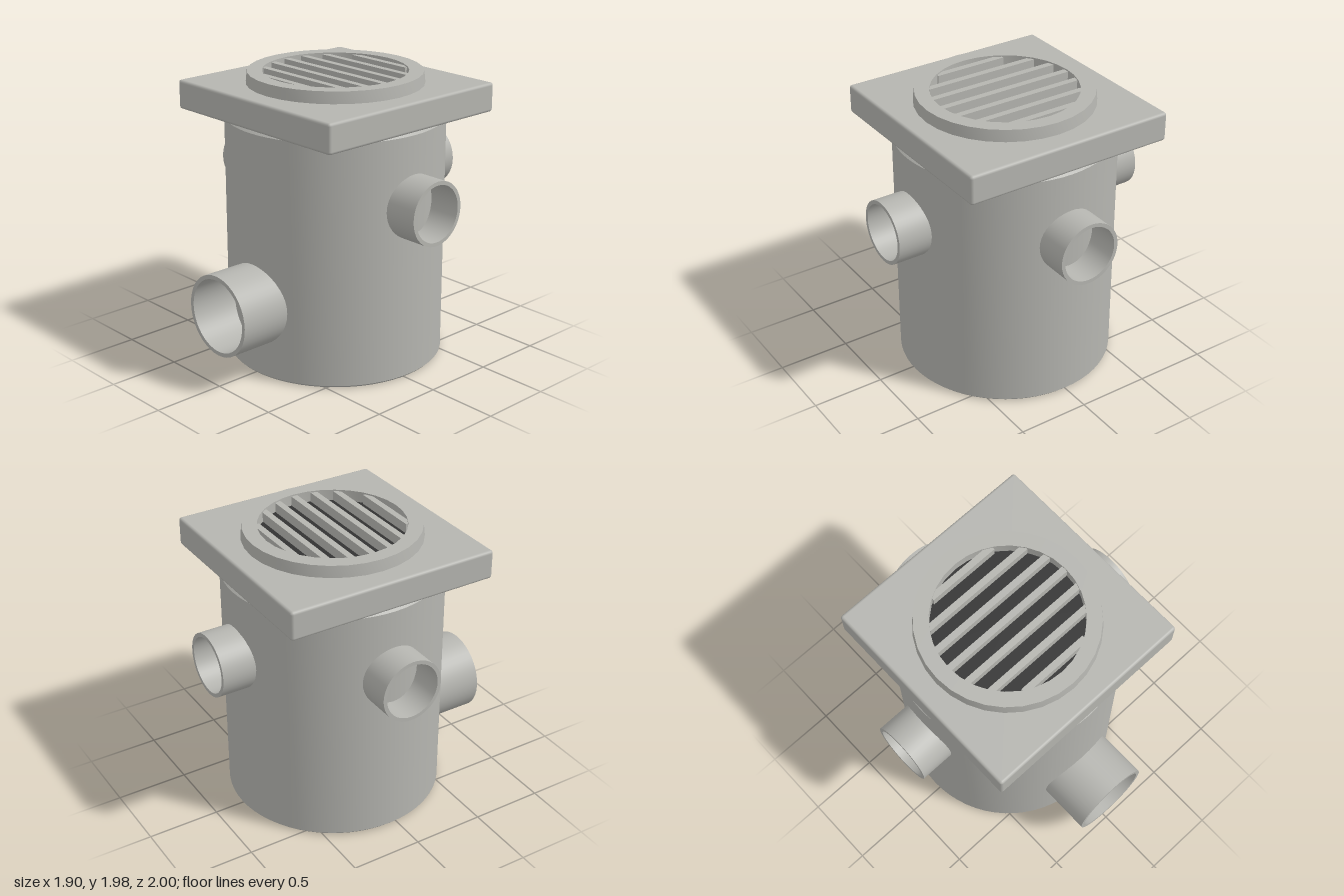
import * as THREE from 'three';
import { toCreasedNormals } from 'three/addons/utils/BufferGeometryUtils.js';
import { RoundedBoxGeometry } from 'three/addons/geometries/RoundedBoxGeometry.js';

const CZ = -0.05; // axis of the chamber

const concrete = new THREE.MeshStandardMaterial({ name: 'concreteGrey', color: 0xb5b5b0 });
const dark = new THREE.MeshStandardMaterial({ name: 'darkOpening', color: 0x333333 });

// Turned part with sharp profile corners and smooth sides
function lathe(points, segments) {
  const profile = points.map(([r, y]) => new THREE.Vector2(r, y));
  return toCreasedNormals(new THREE.LatheGeometry(profile, segments), 0.55);
}

export function createModel() {
  const model = new THREE.Group();
  model.name = 'drainChamber';

  function add(name, geometry, material, x, y, z) {
    const mesh = new THREE.Mesh(geometry, material);
    mesh.name = name;
    mesh.position.set(x, y, z);
    model.add(mesh);
    return mesh;
  }

  // Chamber body with small bevels at both rims
  add('body', lathe([
    [0, 0], [0.73, 0], [0.745, 0.015], [0.745, 1.685], [0.73, 1.7], [0, 1.7],
  ], 64), concrete, 0, 0, CZ);

  // Square cover slab
  add('coverSlab', new RoundedBoxGeometry(1.49, 0.2, 1.49, 2, 0.02), concrete, 0, 1.8, CZ);

  // Raised round frame of the grate
  add('grateFrame', lathe([
    [0.6, 1.89], [0.59, 1.98], [0.49, 1.98], [0.49, 1.89],
  ], 32), concrete, 0, 0, CZ);

  // Dark opening below the bars
  const opening = add('grateOpening', new THREE.CircleGeometry(0.495, 32), dark, 0, 1.904, CZ);
  opening.rotation.x = -Math.PI / 2;

  // Bars, each cut to the chord of the frame
  for (let i = -3; i <= 3; i++) {
    const offset = i * 0.141;
    const length = 2 * Math.sqrt(0.49 ** 2 - offset ** 2) + 0.02;
    add('grateBar', new THREE.BoxGeometry(length, 0.07, 0.045), concrete, 0, 1.935, CZ + offset);
  }

  // Open pipe stub running outwards along +z before it is turned
  function pipe(name, radius, bore, reach, y, angle) {
    const geometry = lathe([
      [radius, 0.55], [radius, reach], [bore, reach], [bore, 0.55],
    ], 40);
    geometry.rotateX(Math.PI / 2);
    add(name, geometry, concrete, 0, y, CZ).rotation.y = angle;
  }
  pipe('outletPipe', 0.28, 0.252, 1.05, 0.505, 0);
  pipe('leftInletPipe', 0.218, 0.192, 0.95, 1.205, Math.PI / 2);
  pipe('rightInletPipe', 0.218, 0.192, 0.95, 1.205, -Math.PI / 2);
  pipe('backInletPipe', 0.218, 0.192, 0.95, 1.205, Math.PI);

  return model;
}
